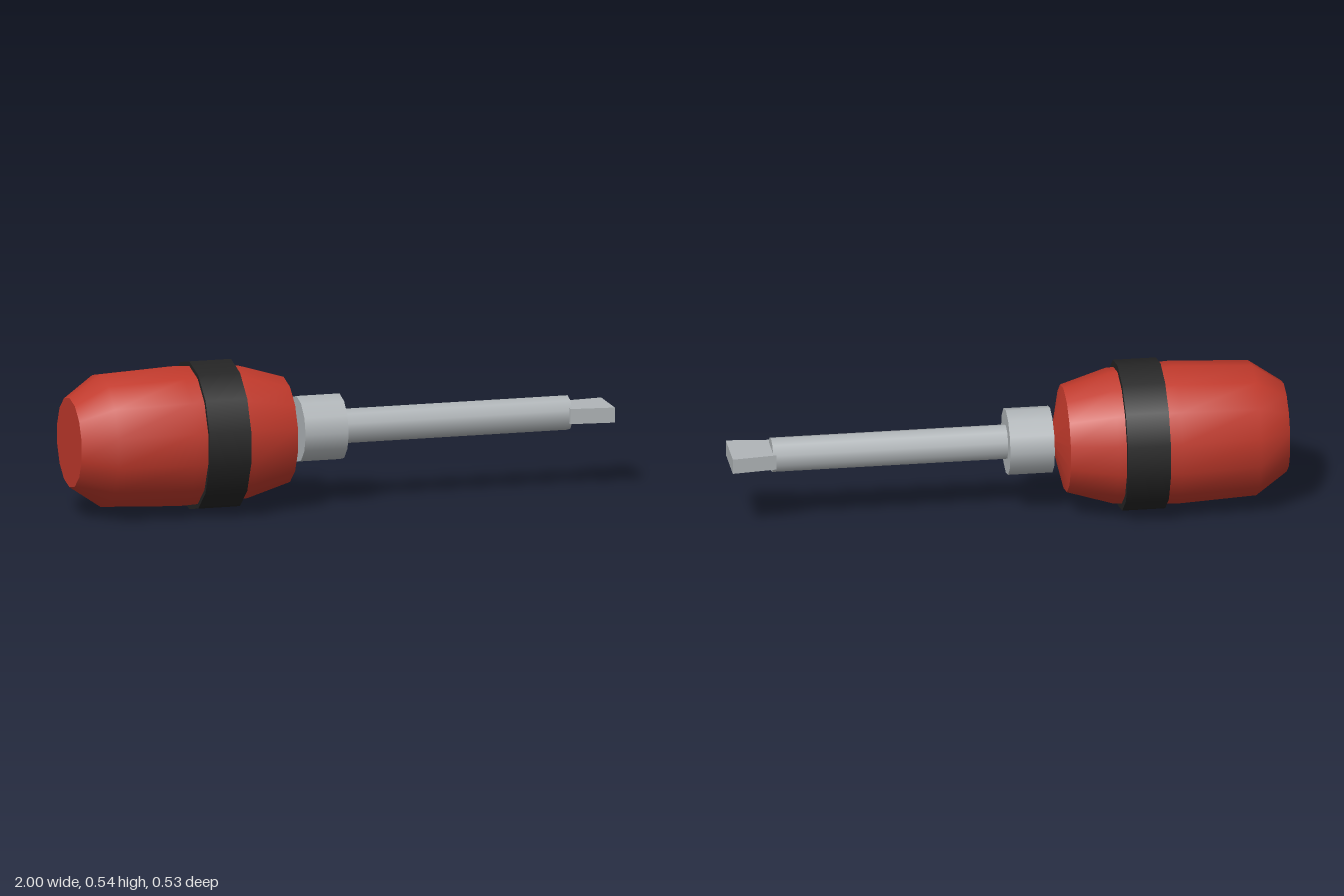
import * as THREE from 'three';

const AXIS_Y = 0.271;

function material(name, color) {
  const m = new THREE.MeshStandardMaterial({ color });
  m.name = name;
  return m;
}

export function createModel() {
  const red = material('handle red', 0xc0392b);
  const black = material('grip black', 0x242424);
  const steel = material('steel grey', 0xb0b5b8);

  const group = new THREE.Group();
  group.name = 'screwdriver';

  // Lays a geometry turned about y along the x axis and adds it to the group
  function add(name, geometry, mat, x = 0) {
    geometry.rotateZ(-Math.PI / 2);
    const mesh = new THREE.Mesh(geometry, mat);
    mesh.name = name;
    mesh.position.set(x, AXIS_Y, 0);
    group.add(mesh);
  }

  // Profile pairs are [radius, position along x]; a corner always points up
  const turned = (profile) => new THREE.LatheGeometry(
    profile.map(([r, x]) => new THREE.Vector2(r, x)), 14, Math.PI / 2);
  const rod = (name, r, x0, x1, sides, mat) => add(name,
    new THREE.CylinderGeometry(r, r, x1 - x0, sides, 1, false, Math.PI / 2), mat, (x0 + x1) / 2);

  // Handle: smooth barrel with sharp-edged butt and shallow conical nose
  add('handleBarrel', turned([[0.163, -1], [0.242, -0.885], [0.256, -0.6], [0.243, -0.37], [0.193, -0.205]]), red);
  add('handleButt', turned([[0, -1], [0.163, -1]]), red);
  add('handleNose', turned([[0.193, -0.205], [0, -0.157]]), red);

  // Grip ring, collar and shaft
  rod('gripBand', 0.27, -0.555, -0.4, 14, black);
  rod('collar', 0.12, -0.157, 0.003, 12, steel);
  rod('shaft', 0.063, 0, 0.85, 10, steel);

  // Flat blade, widening towards the end
  const blade = new THREE.BoxGeometry(0.16, 0.055, 0.178);
  const p = blade.attributes.position;
  for (let i = 0; i < p.count; i++) {
    if (p.getX(i) < 0) p.setZ(i, p.getZ(i) * 0.81);
  }
  blade.computeVertexNormals();
  const tip = new THREE.Mesh(blade, steel);
  tip.name = 'bladeTip';
  tip.position.set(0.92, AXIS_Y, 0);
  group.add(tip);

  return group;
}
